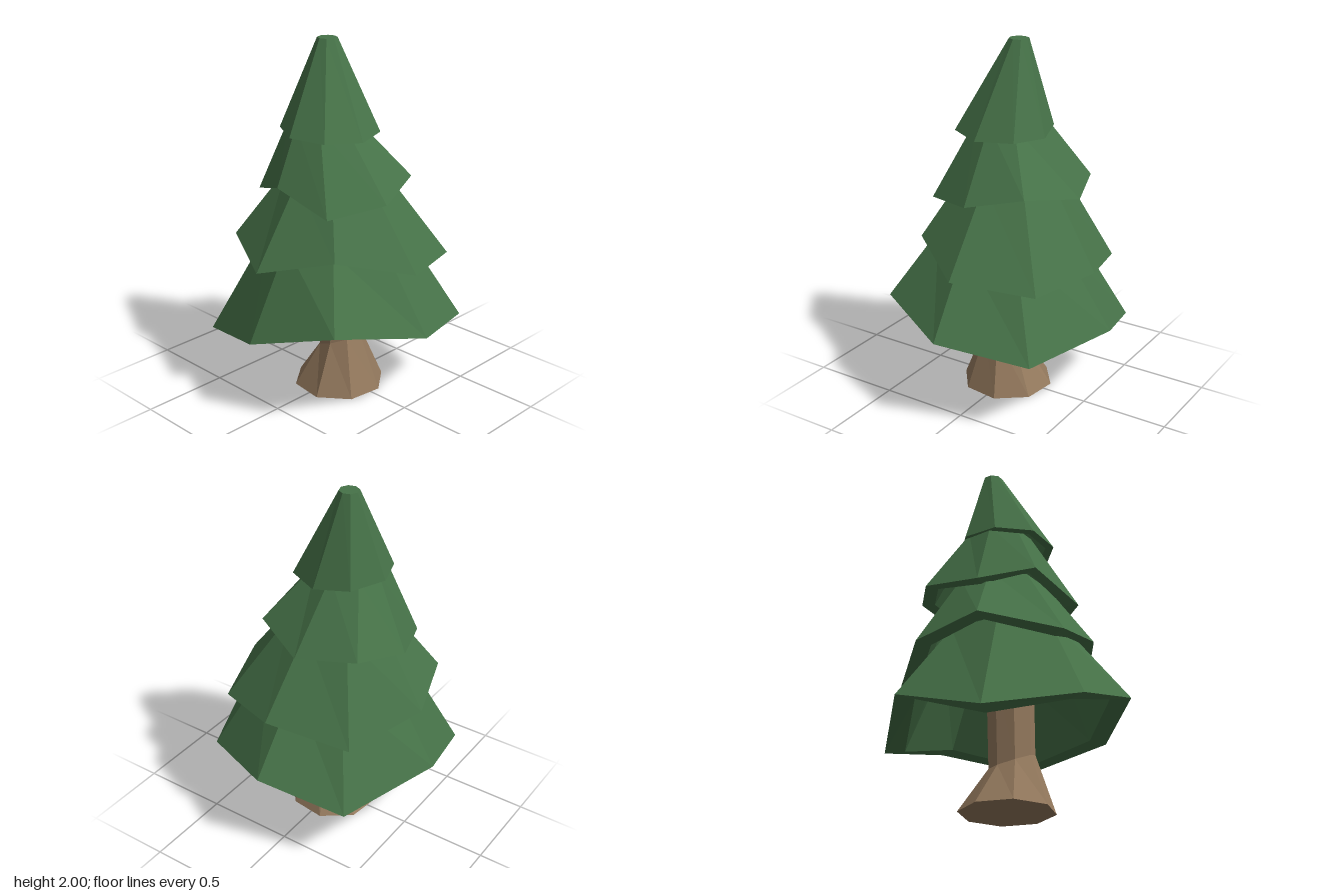
import * as THREE from 'three';

const GREEN = 0x467248, BROWN = 0x957a5e;
const N = 8;
const material = (color) => new THREE.MeshStandardMaterial({ color, flatShading: true });

function meshFrom(triangles, color, name) {
  const geometry = new THREE.BufferGeometry().setFromPoints(triangles);
  geometry.computeVertexNormals();
  const mesh = new THREE.Mesh(geometry, material(color));
  mesh.name = name;
  return mesh;
}

const quad = (a, b, c, d) => [a, b, c, a, c, d];

function centreOf(ring) {
  return ring.reduce((sum, p) => sum.add(p), new THREE.Vector3()).divideScalar(ring.length);
}

// Shrinks a ring sideways about its centre, keeping heights
function shrink(ring, factor) {
  const c = centreOf(ring);
  return ring.map((p) => new THREE.Vector3(c.x + (p.x - c.x) * factor, p.y, c.z + (p.z - c.z) * factor));
}

// Joins rings of points into a closed, flat-shaded solid
function loft(rings, color, name) {
  const tris = [];
  const first = rings[0], last = rings[rings.length - 1];
  const bottom = centreOf(first), top = centreOf(last);
  for (let i = 0; i < N; i++) {
    const j = (i + 1) % N;
    for (let k = 0; k + 1 < rings.length; k++) {
      const a = rings[k], b = rings[k + 1];
      tris.push(...quad(a[i], b[i], b[j], a[j]));
    }
    tris.push(bottom, first[i], first[j], top, last[j], last[i]);
  }
  return meshFrom(tris, color, name);
}

// Regular ring around (x, z); the height may tilt along x
function regularRing(x, y, z, r, startDegrees, tilt = 0) {
  return Array.from({ length: N }, (_, i) => {
    const t = THREE.MathUtils.degToRad(startDegrees) - (i / N) * Math.PI * 2;
    return new THREE.Vector3(x + r * Math.sin(t), y + tilt * Math.sin(t), z + r * Math.cos(t));
  });
}

// Each tier: uneven hem corners [x, y, z] from the back clockwise, and its top ring
const TIERS = [
  {
    name: 'bottomBranches', top: [0, 0.95, 0.03], radius: 0.37,
    hem: [[0.04, 0.51, -0.67], [0.51, 0.43, -0.45], [0.678, 0.51, 0.04], [0.45, 0.59, 0.505],
      [-0.02, 0.455, 0.67], [-0.53, 0.325, 0.51], [-0.68, 0.51, -0.03], [-0.43, 0.385, -0.53]],
  },
  {
    name: 'lowerBranches', top: [-0.04, 1.27, 0], radius: 0.27,
    hem: [[0.05, 0.83, -0.57], [0.42, 0.79, -0.43], [0.57, 0.83, 0.01], [0.32, 0.93, 0.37],
      [-0.06, 0.825, 0.575], [-0.46, 0.89, 0.37], [-0.58, 0.83, -0.01], [-0.4, 0.75, -0.44]],
  },
  {
    name: 'upperBranches', top: [-0.085, 1.56, 0.045], radius: 0.187,
    hem: [[-0.04, 1.19, -0.42], [0.28, 1.25, -0.27], [0.38, 1.18, 0.04], [0.24, 1.14, 0.345],
      [-0.09, 1.25, 0.385], [-0.38, 1.15, 0.255], [-0.495, 1.2, -0.065], [-0.36, 1.22, -0.31]],
  },
  {
    name: 'crown', top: [-0.095, 2, 0], radius: 0.055,
    hem: [[-0.015, 1.5, -0.215], [0.17, 1.505, -0.135], [0.235, 1.5, 0.07], [0.14, 1.51, 0.26],
      [-0.055, 1.52, 0.325], [-0.24, 1.525, 0.22], [-0.305, 1.53, 0.03], [-0.21, 1.52, -0.155]],
  },
];

// Hollow skirt: inner slope, flat rim and outer slope
function tierRings({ hem, top, radius }) {
  const outer = hem.map((p) => new THREE.Vector3(...p));
  const middle = centreOf(outer);
  const apex = new THREE.Vector3(...top);
  const upper = outer.map((p) => {
    const d = new THREE.Vector3(p.x - middle.x, 0, p.z - middle.z).normalize();
    return d.multiplyScalar(radius).add(apex);
  });
  const ceiling = outer.map((p, i) => p.clone().lerp(upper[i], 0.88));
  return [shrink(ceiling, 0.9), shrink(outer, 0.83), outer, upper];
}

export function createModel() {
  const tree = new THREE.Group();
  tree.name = 'pineTree';

  // Flared trunk
  tree.add(loft([
    regularRing(0, 0, 0.01, 0.26, 15),
    regularRing(0.025, 0.28, 0.02, 0.125, 15, 0.05),
    regularRing(0.015, 0.7, 0.02, 0.13, 15),
  ], BROWN, 'trunk'));

  // Branch tiers
  for (const tier of TIERS) tree.add(loft(tierRings(tier), GREEN, tier.name));

  // Single brown panel under the rim of the second tier
  const [, inner, outer] = tierRings(TIERS[1]);
  const panel = meshFrom(quad(inner[1], outer[1], outer[2], inner[2]), BROWN, 'rimPanel');
  panel.position.y = -0.003;
  tree.add(panel);

  return tree;
}
